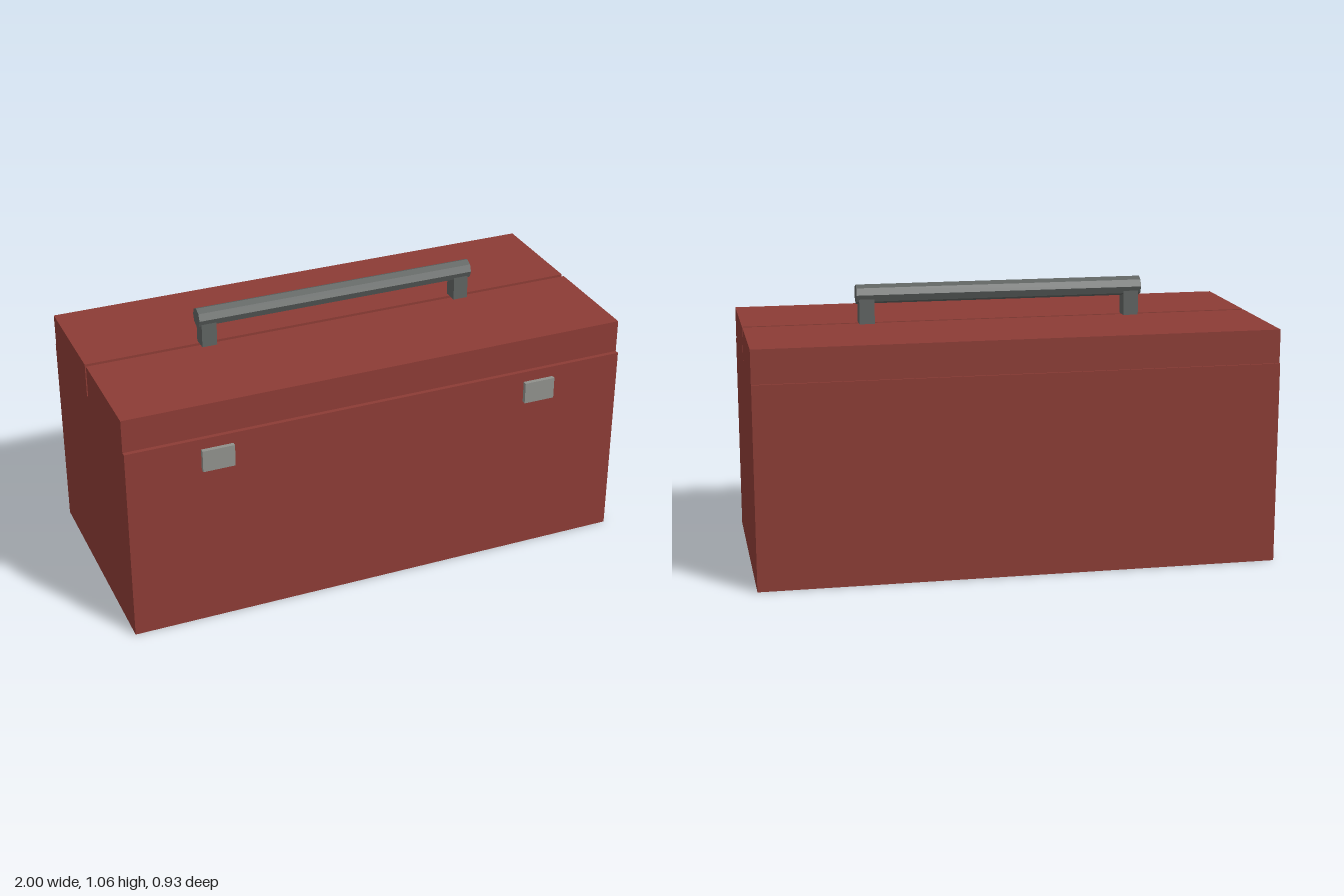
import * as THREE from 'three';

const material = (color) => new THREE.MeshStandardMaterial({ color, flatShading: true });

// Box given by its extents along each axis
function box(name, [x0, x1], [y0, y1], [z0, z1], mat) {
  const mesh = new THREE.Mesh(new THREE.BoxGeometry(x1 - x0, y1 - y0, z1 - z0), mat);
  mesh.position.set((x0 + x1) / 2, (y0 + y1) / 2, (z0 + z1) / 2);
  mesh.name = name;
  return mesh;
}

export function createModel() {
  const model = new THREE.Group();
  model.name = 'toolbox';
  const red = material(0x8c3c35);
  const darkGrey = material(0x5f6361);
  const lightGrey = material(0x90918c);

  // Main case and the two lid halves with a slot between them
  model.add(
    box('case', [-1, 1], [0, 0.783], [-0.463, 0.449], red),
    box('frontLid', [-1, 1], [0.783, 0.913], [-0.003, 0.432], red),
    box('backLid', [-1, 1], [0.783, 0.913], [-0.455, -0.02], red),
  );

  // Handle: eight-sided grip lying along x on two posts
  const handle = new THREE.Group();
  handle.name = 'handle';
  const grip = new THREE.Mesh(new THREE.CylinderGeometry(0.0375, 0.0375, 1.126, 8), darkGrey);
  grip.name = 'grip';
  grip.rotation.z = Math.PI / 2;
  grip.position.set(0, 1.026, -0.0115);
  handle.add(grip);
  model.add(handle);

  // Mirrored posts and front latches
  for (const [side, s] of [['left', 1], ['right', -1]]) {
    const span = (a, b) => (s > 0 ? [a, b] : [-b, -a]);
    handle.add(box(side + 'Post', span(0.494, 0.553), [0.913, 1.02], [-0.042, 0.018], darkGrey));
    model.add(box(side + 'Latch', span(0.59, 0.714), [0.655, 0.741], [0.44, 0.466], lightGrey));
  }
  return model;
}
